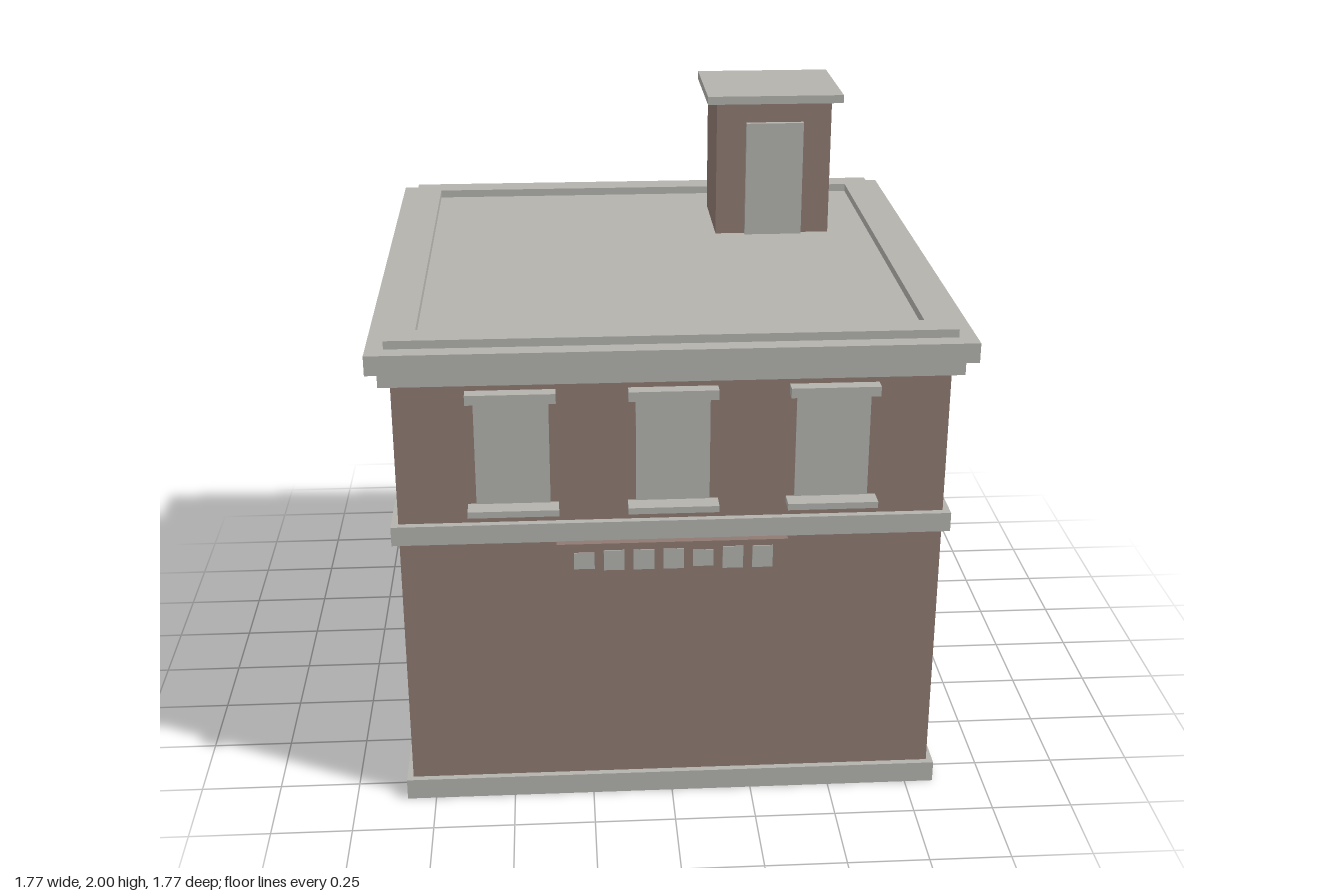
import * as THREE from 'three';

export function createModel() {
  const brick = new THREE.MeshStandardMaterial({ name: 'brick', color: 0x8f7a71 });
  const stone = new THREE.MeshStandardMaterial({ name: 'stone', color: 0xb3b2ad });
  const model = new THREE.Group();
  model.name = 'building';

  // box given by its extents on each axis
  function box(parent, name, mat, x0, x1, y0, y1, z0, z1) {
    const mesh = new THREE.Mesh(new THREE.BoxGeometry(x1 - x0, y1 - y0, z1 - z0), mat);
    mesh.position.set((x0 + x1) / 2, (y0 + y1) / 2, (z0 + z1) / 2);
    mesh.name = name;
    parent.add(mesh);
  }

  // square frame with a square opening, from y0 up to y1
  function frame(name, mat, outer, inner, y0, y1) {
    const square = (Type, r) => {
      const p = new Type();
      p.moveTo(-r, -r).lineTo(r, -r).lineTo(r, r).lineTo(-r, r).closePath();
      return p;
    };
    const shape = square(THREE.Shape, outer);
    shape.holes.push(square(THREE.Path, inner));
    const geo = new THREE.ExtrudeGeometry(shape, { depth: y1 - y0, bevelEnabled: false });
    geo.rotateX(-Math.PI / 2).translate(0, y0, 0);
    const mesh = new THREE.Mesh(geo, mat);
    mesh.name = name;
    model.add(mesh);
  }

  // walls, floor and roof
  frame('walls', brick, 0.82, 0.75, 0.005, 1.43);
  box(model, 'floor', stone, -0.755, 0.755, 0.035, 0.055, -0.755, 0.755);
  box(model, 'roof', stone, -0.755, 0.755, 1.48, 1.519, -0.755, 0.755);

  // stone courses from the ground to the parapet
  frame('plinth', stone, 0.84, 0.81, 0, 0.068);
  frame('beltCourse', stone, 0.842, 0.8, 0.897, 0.958);
  frame('lowerCornice', stone, 0.853, 0.75, 1.41, 1.46);
  frame('upperCornice', stone, 0.885, 0.75, 1.46, 1.52);
  frame('parapet', stone, 0.832, 0.745, 1.5, 1.545);

  // one group per facade, each built facing +z and turned into place
  const wall = 0.82;
  function facade(name, turn) {
    const g = new THREE.Group();
    g.name = name;
    g.rotation.y = turn;
    model.add(g);
    return g;
  }
  function addWindow(g, x, y0, y1, sillDepth, lintel) {
    box(g, 'windowPane', stone, x - 0.11, x + 0.11, y0, y1, wall - 0.003, wall + 0.004);
    box(g, 'windowSill', stone, x - 0.135, x + 0.135, y0 - 0.02, y0, wall - 0.01, wall + sillDepth);
    if (lintel) box(g, 'windowLintel', stone, x - 0.132, x + 0.132, y1, y1 + 0.03, wall - 0.01, wall + 0.04);
  }

  const front = facade('frontFacade', 0);
  for (const x of [-0.475, 0, 0.475]) addWindow(front, x, 1.02, 1.352, 0.06, true);

  for (const [name, turn] of [['leftFacade', Math.PI / 2], ['rightFacade', -Math.PI / 2]]) {
    const side = facade(name, turn);
    addWindow(side, 0, 1.02, 1.345, 0.04, false);
    addWindow(side, 0, 0.44, 0.66, 0.04, false);
  }

  const back = facade('backFacade', Math.PI);
  for (const x of [-0.325, 0.315]) addWindow(back, x, 1.02, 1.345, 0.04, false);
  box(back, 'backDoor', stone, -0.13, 0.13, 0.068, 0.54, wall - 0.003, wall + 0.004);

  // sign board with a row of blank tiles, standing just off the wall
  box(front, 'signBoard', brick, -0.35, 0.345, 0.79, 0.898, 0.836, 0.865);
  const tileHeights = [0.054, 0.066, 0.066, 0.066, 0.054, 0.072, 0.072];
  tileHeights.forEach((h, i) => {
    const x = (i - 3) * 0.0895;
    box(front, 'signTile', stone, x - 0.031, x + 0.031, 0.843 - h / 2, 0.843 + h / 2, 0.862, 0.868);
  });

  // rooftop stair house
  const hut = new THREE.Group();
  hut.name = 'stairHouse';
  model.add(hut);
  box(hut, 'stairHouseWalls', brick, 0.218, 0.605, 1.5, 1.973, -0.585, -0.238);
  box(hut, 'stairHouseCap', stone, 0.185, 0.64, 1.973, 2, -0.62, -0.21);
  box(hut, 'stairHouseDoor', stone, 0.317, 0.51, 1.5, 1.905, -0.242, -0.22);

  return model;
}
